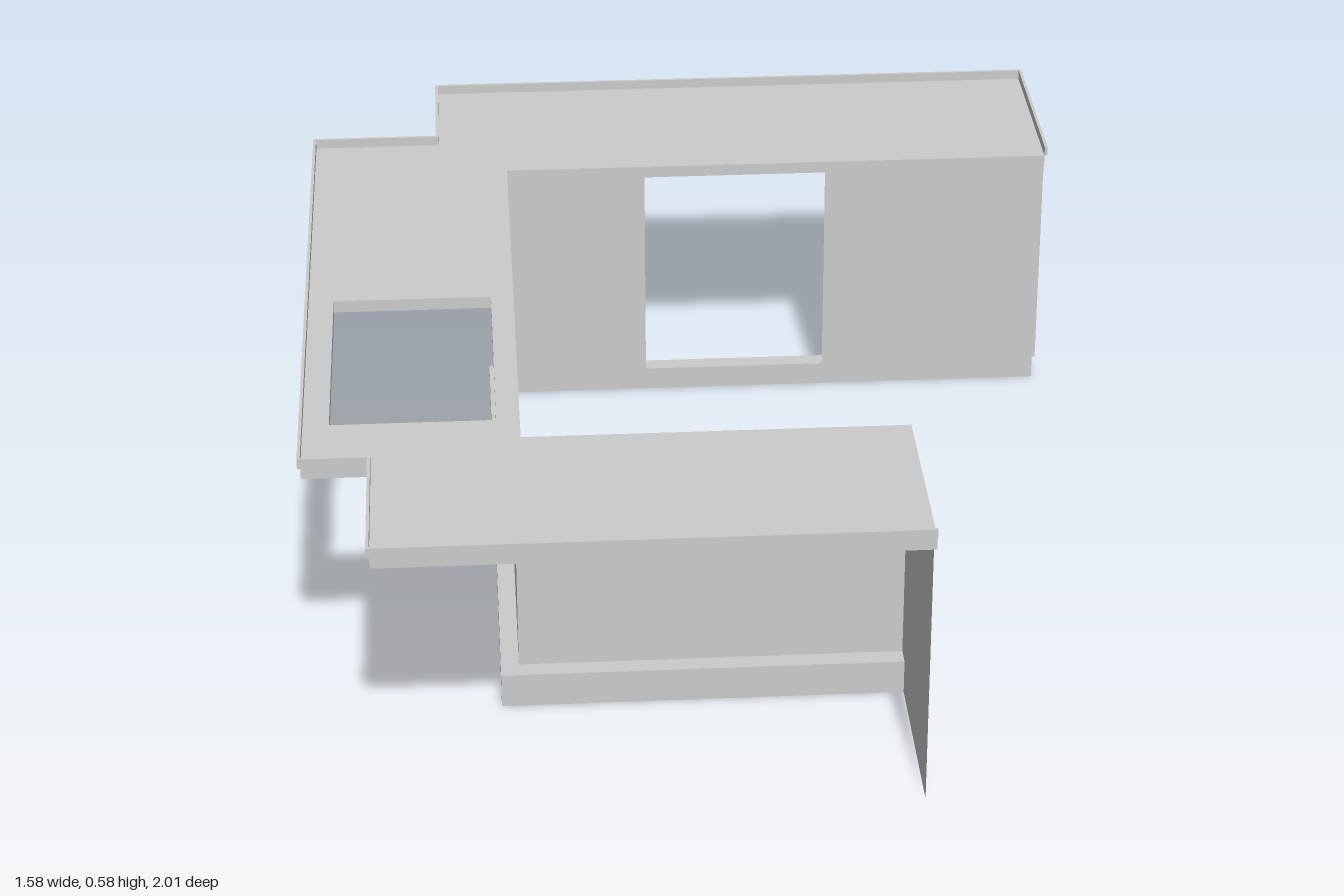
import * as THREE from 'three';
import { mergeGeometries } from 'three/addons/utils/BufferGeometryUtils.js';

const material = new THREE.MeshStandardMaterial({ color: 0xcccccc, side: THREE.DoubleSide, flatShading: true });

const toVectors = pts => pts.map(([a, b]) => new THREE.Vector2(a, b));

// Horizontal slab from an (x, z) outline, between two heights.
function slab(outline, bottom, top, hole) {
  const shape = new THREE.Shape(toVectors(outline));
  if (hole) shape.holes.push(new THREE.Path(toVectors(hole)));
  return new THREE.ExtrudeGeometry(shape, { depth: top - bottom, bevelEnabled: false })
    .rotateX(Math.PI / 2).translate(0, top, 0);
}

// Upright thin sheet between two (x, z) points.
function sheet([x0, z0], [x1, z1], bottom, top) {
  return new THREE.PlaneGeometry(Math.hypot(x1 - x0, z1 - z0), top - bottom)
    .rotateY(Math.atan2(z0 - z1, x1 - x0))
    .translate((x0 + x1) / 2, (bottom + top) / 2, (z0 + z1) / 2);
}

// Shifts an axis-aligned open path sideways, with mitred corners.
function offsetPath(path, t) {
  const normal = i => {
    if (i < 0 || i >= path.length - 1) return [0, 0];
    const dx = path[i + 1][0] - path[i][0], dz = path[i + 1][1] - path[i][1];
    return [Math.sign(dz) * t, -Math.sign(dx) * t];
  };
  return path.map(([x, z], i) => {
    const a = normal(i - 1), b = normal(i);
    return [x + a[0] + b[0], z + a[1] + b[1]];
  });
}

export function createModel() {
  const group = new THREE.Group();
  const add = (name, geometry) => {
    const mesh = new THREE.Mesh(geometry, material);
    mesh.name = name;
    group.add(mesh);
  };

  const under = 0.54, surface = 0.565, rimTop = 0.585, kickTop = 0.07;
  const backEnd = 0.785, frontEnd = 0.356;

  // U-shaped counter with a sink cut-out
  const outerEdge = [
    [0.785, -0.59], [0.785, -1], [-0.52, -1], [-0.52, -0.73], [-0.785, -0.73],
    [-0.785, 0.67], [-0.655, 0.67], [-0.655, 1], [0.362, 1],
  ];
  const innerEdge = [[0.362, 0.582], [-0.375, 0.582], [-0.375, -0.59]];
  const sink = [[-0.735, 0], [-0.42, 0], [-0.42, 0.512], [-0.735, 0.512]];
  add('countertop', slab([...outerEdge, ...innerEdge], under, surface, sink));

  // Thin raised lip along the outer edge
  const lipInside = offsetPath(outerEdge, -0.006);
  add('countertopLip', slab([...outerEdge, ...lipInside.reverse()], surface, rimTop));

  // Cabinet fronts facing the inner court; the back run has an open bay
  const z = 0.597, x = -0.39;
  add('cabinetFronts', mergeGeometries([
    sheet([x, -z], [-0.08, -z], kickTop, under),
    sheet([0.31, -z], [backEnd, -z], kickTop, under),
    sheet([x, -z], [x, z], kickTop, under),
    sheet([x, z], [frontEnd, z], kickTop, under),
  ]));

  // Recessed toe kick and the ledge joining it to the cabinet fronts
  const kz = 0.635, kx = -0.425;
  const kickPath = [[backEnd, -kz], [kx, -kz], [kx, kz], [frontEnd, kz]];
  const wallPath = [[backEnd, -z], [x, -z], [x, z], [frontEnd, z]];
  add('toeKick', mergeGeometries(
    kickPath.slice(1).map((p, i) => sheet(kickPath[i], p, 0, kickTop))));
  add('toeKickLedge', new THREE.ShapeGeometry(
    new THREE.Shape(toVectors([...kickPath, ...wallPath.reverse()])))
    .rotateX(Math.PI / 2).translate(0, kickTop, 0));

  // End panels, notched at the toe kick
  for (const [name, px, s] of [['backEndPanel', backEnd, -1], ['frontEndPanel', frontEnd, 1]]) {
    const profile = [[s * kz, 0], [s, 0], [s, under], [s * z, under], [s * z, kickTop], [s * kz, kickTop]];
    add(name, new THREE.ShapeGeometry(new THREE.Shape(toVectors(profile)))
      .rotateY(-Math.PI / 2).translate(px, 0, 0));
  }

  return group;
}
